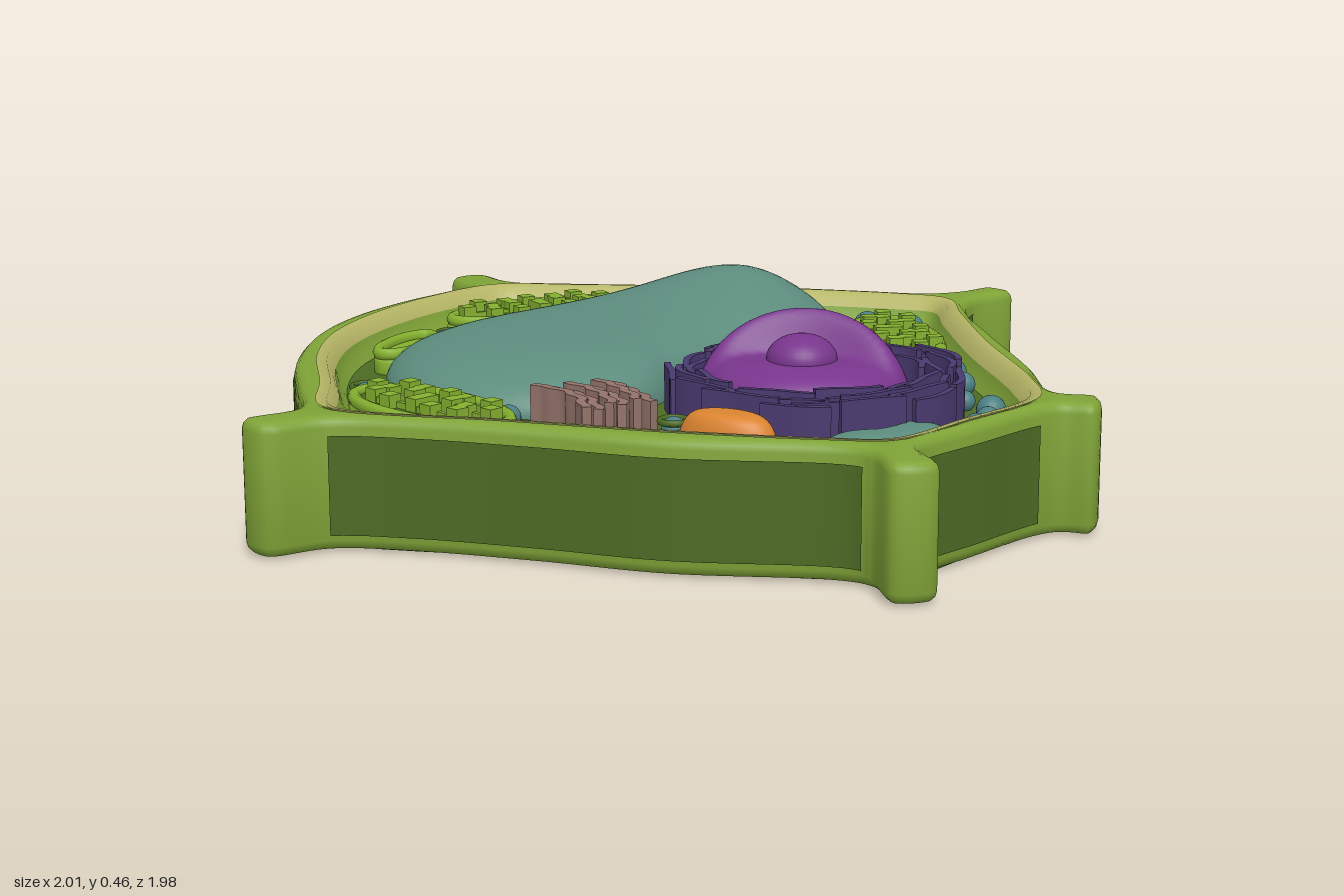
import * as THREE from 'three';
import { toCreasedNormals } from 'three/addons/utils/BufferGeometryUtils.js';

const mat = (name, color, side = THREE.FrontSide) => {
  const m = new THREE.MeshStandardMaterial({ color, side });
  m.name = name;
  return m;
};
const M = {
  wall: mat('wall green', 0x7fa337, THREE.DoubleSide),
  dark: mat('dark green', 0x4c6a24, THREE.DoubleSide),
  cream: mat('membrane cream', 0xb5b566, THREE.DoubleSide),
  teal: mat('vacuole teal', 0x5c8c7d),
  purple: mat('nucleus purple', 0x78358c),
  indigo: mat('reticulum indigo', 0x4a3a70),
  leaf: mat('chloroplast green', 0x84b02f),
  orange: mat('mitochondrion orange', 0xdb8430),
  brown: mat('golgi brown', 0x93736a),
  blue: mat('vesicle blue', 0x4b7f82),
};
const FLOOR = 0.23;

// Smooth closed outline through [x, z] points (running from +x towards +z)
const smooth = (pts, n) => new THREE.CatmullRomCurve3(
  pts.map(([x, z]) => new THREE.Vector3(x, 0, z)), true, 'centripetal')
  .getPoints(n).slice(0, n).map(p => new THREE.Vector2(p.x, p.z));
const ellipse = (a, b, n = 40) => Array.from({ length: n }, (_, i) => {
  const t = i / n * Math.PI * 2;
  return new THREE.Vector2(a * Math.cos(t), b * Math.sin(t));
});

// Upright slab from an outline
function slab(pts, top, bottom, bevel = 0, hole) {
  const shape = new THREE.Shape(pts);
  if (hole) shape.holes.push(new THREE.Path(hole));
  const g = new THREE.ExtrudeGeometry(shape, {
    depth: top - bottom - 2 * bevel, bevelEnabled: bevel > 0, bevelThickness: bevel,
    bevelSize: bevel, bevelOffset: -bevel, bevelSegments: 3 });
  g.rotateX(Math.PI / 2).translate(0, top - bevel, 0);
  return toCreasedNormals(g, 0.7);
}

// Band following an outline, through [inset, y] rows; keep() may leave gaps
function band(pts, rows, keep = () => true) {
  const pos = [], idx = [], n = pts.length;
  for (const [inset, y] of rows) pts.forEach((p, i) => {
    const t = pts[(i + 1) % n].clone().sub(pts[(i + n - 1) % n]).normalize();
    pos.push(p.x - t.y * inset, y, p.y + t.x * inset);
  });
  for (let r = 0; r < rows.length - 1; r++) for (let i = 0; i < n; i++) {
    const j = (i + 1) % n, a = r * n + i, b = r * n + j;
    if (keep(pts[i]) && keep(pts[j])) idx.push(a, a + n, b, b, a + n, b + n);
  }
  return build(pos, idx);
}
function build(pos, idx) {
  const g = new THREE.BufferGeometry();
  g.setAttribute('position', new THREE.Float32BufferAttribute(pos, 3));
  g.setIndex(idx);
  g.computeVertexNormals();
  return g;
}

// Domed surface over an outline; height(x, z, s) with s = 0 centre to 1 edge
function dome(pts, [cx, cz], height, rings = 16) {
  const n = pts.length, pos = [cx, FLOOR + height(cx, cz, 0), cz], idx = [];
  for (let k = 1; k <= rings; k++) {
    const s = Math.sin(k / rings * Math.PI / 2);
    pts.forEach(p => {
      const x = cx + (p.x - cx) * s, z = cz + (p.y - cz) * s;
      pos.push(x, FLOOR + height(x, z, s), z);
    });
  }
  for (let i = 0; i < n; i++) {
    const j = (i + 1) % n;
    idx.push(0, 1 + j, 1 + i);
    for (let k = 0; k < rings - 1; k++) {
      const a = 1 + k * n + i, b = 1 + k * n + j;
      idx.push(a, b, a + n, b, b + n, a + n);
    }
  }
  return build(pos, idx);
}
const round = (s, p = 4) => Math.sqrt(Math.max(0, 1 - s ** p));
const loopTube = (pts, y, r) => new THREE.TubeGeometry(new THREE.CatmullRomCurve3(
  pts.map(p => new THREE.Vector3(p.x, y, p.y)), true), 64, r, 8, true);

// Standing ribbon of given thickness along an open path
function ribbon(path, thick, top) {
  const side = d => path.map((p, i) => {
    const t = path[Math.min(i + 1, path.length - 1)].clone().sub(path[Math.max(i - 1, 0)]).normalize();
    return new THREE.Vector2(p.x - t.y * d, p.y + t.x * d);
  });
  return slab([...side(thick / 2), ...side(-thick / 2).reverse()], top, FLOOR - 0.01);
}

export function createModel() {
  const root = new THREE.Group();
  const add = (name, geo, material, parent = root) => {
    const m = new THREE.Mesh(geo, material);
    m.name = name;
    parent.add(m);
    return m;
  };
  const group = (name, x = 0, z = 0, angle = 0) => {
    const g = new THREE.Group();
    g.name = name;
    g.position.set(x, 0, z);
    g.rotation.y = -angle;
    root.add(g);
    return g;
  };

  // Cell wall with five corner spurs
  const outer = smooth([
    [-0.86, -0.85], [-0.79, -0.91], [-0.69, -0.83], [-0.6, -0.81], [-0.3, -0.85], [0, -0.88], [0.3, -0.875], [0.48, -0.87], [0.56, -0.91],
    [0.64, -0.99], [0.71, -0.94], [0.62, -0.82], [0.61, -0.68], [0.71, -0.35], [0.83, 0], [0.89, 0.23], [0.92, 0.26],
    [1, 0.27], [1, 0.38], [0.93, 0.38], [0.88, 0.42], [0.75, 0.62], [0.65, 0.78], [0.65, 0.84],
    [0.7, 0.95], [0.61, 0.99], [0.55, 0.88], [0.48, 0.85], [0.1, 0.87], [-0.2, 0.83], [-0.5, 0.805], [-0.68, 0.82],
    [-0.8, 0.91], [-0.87, 0.85], [-0.79, 0.75], [-0.79, 0.68], [-0.86, 0.5], [-0.95, 0.25], [-0.995, -0.05], [-0.97, -0.3], [-0.88, -0.55], [-0.78, -0.72]], 260);
  const inner = smooth([
    [-0.7, -0.74], [-0.5, -0.77], [0, -0.82], [0.42, -0.81], [0.53, -0.78], [0.58, -0.6], [0.68, -0.25], [0.82, 0.15], [0.85, 0.33],
    [0.72, 0.56], [0.58, 0.77], [0.45, 0.79], [0.1, 0.79], [-0.3, 0.755], [-0.65, 0.74], [-0.72, 0.7],
    [-0.79, 0.48], [-0.89, 0.2], [-0.93, -0.06], [-0.9, -0.32], [-0.82, -0.55]], 140);
  add('cellWall', slab(outer, 0.315, 0.003, 0.025, inner), M.wall);
  const spurs = [[-0.82, -0.88], [0.67, -0.96], [1, 0.33], [0.65, 0.97], [-0.83, 0.88]].map(p => new THREE.Vector2(...p));
  add('wallPanels', band(outer, [[-0.004, 0.04], [-0.004, 0.272]],
    p => spurs.every(s => s.distanceTo(p) > 0.15)), M.dark);
  add('cellFloor', slab(inner.map(p => p.clone().multiplyScalar(1.03)), FLOOR, 0), M.dark);
  add('membraneLip', band(inner, [[-0.02, 0.316], [0.006, 0.312], [0.025, 0.28]]), M.cream);
  add('membraneSlope', band(inner, [[0.025, 0.28], [0.035, 0.25], [0.06, FLOOR - 0.01]]), M.wall);

  // Large bean-shaped vacuole, highest at the back
  const bean = smooth([
    [0, -0.81], [0.17, -0.76], [0.27, -0.63], [0.29, -0.5], [0.24, -0.35], [0.13, -0.2], [0.04, -0.05], [-0.02, 0.1], [-0.06, 0.25],
    [-0.14, 0.36], [-0.28, 0.42], [-0.45, 0.42], [-0.6, 0.36], [-0.72, 0.22], [-0.78, 0.02], [-0.74, -0.15],
    [-0.66, -0.3], [-0.55, -0.45], [-0.42, -0.6], [-0.25, -0.74], [-0.12, -0.8]], 90);
  add('vacuole', dome(bean, [-0.27, -0.15], (x, z, s) => round(s)
    * (0.125 + 0.1 * Math.exp(-((x - 0.03) ** 2 + (z + 0.57) ** 2) / 0.07)), 28), M.teal);
  const blob = smooth([[0.62, 0.42], [0.7, 0.48], [0.68, 0.56], [0.6, 0.66], [0.5, 0.71], [0.42, 0.7], [0.4, 0.63], [0.5, 0.58], [0.57, 0.5]], 40);
  add('smoothReticulum', dome(blob, [0.56, 0.6], (x, z, s) => 0.06 * round(s)), M.teal);

  // Nucleus dome, cut open towards the front around the nucleolus
  const disc = ellipse(0.26, 0.24, 80).map(p => p.add(new THREE.Vector2(0.3, 0.2)));
  add('nucleus', dome(disc, [0.3, 0.2], (x, z, s) => {
    const cut = THREE.MathUtils.smoothstep(z - 0.12 - 1.5 * (x - 0.3) ** 2, 0, 0.07);
    return THREE.MathUtils.lerp(0.245 * round(s, 2), 0.13 * round(s, 5), cut);
  }, 44), M.purple);
  const core = add('nucleolus', new THREE.SphereGeometry(0.085, 32, 20), M.purple);
  core.position.set(0.3, 0.36, 0.225);
  core.scale.y = 0.7;

  // Folded reticulum walls around the nucleus, as broken rings
  const er = group('roughReticulum', 0.32, 0.24);
  const rings = [[0.275, 0.1, 6.1], [0.305, 2.3, 8.3], [0.335, -2.6, 3.2], [0.362, -0.9, 2.2], [0.39, 0.35, 1.75]];
  rings.forEach(([r, from, to], k) => {
    const parts = Math.max(3, Math.round((to - from) * 1.5));
    for (let i = 0; i < parts; i++) {
      const a0 = from + (to - from) * (i + 0.05) / parts, a1 = from + (to - from) * (i + 0.93) / parts;
      const path = Array.from({ length: 13 }, (_, j) => {
        const a = a0 + (a1 - a0) * j / 12, q = r + 0.009 * Math.sin(a * 9 + k * 2);
        return new THREE.Vector2(q * Math.cos(a), q * Math.sin(a) * 0.97);
      });
      add('reticulumFold', ribbon(path, 0.016, 0.34 + 0.012 * ((i + k) % 2)), M.indigo, er);
    }
  });

  // Chloroplasts: rimmed dishes with stacked grana
  for (const [x, z, len, wid, angle] of [
    [-0.55, -0.58, 0.52, 0.23, -0.7], [0.455, -0.42, 0.5, 0.22, 1.2],
    [-0.52, 0.55, 0.52, 0.25, 0.58], [-0.77, -0.1, 0.28, 0.13, 1.75]]) {
    const g = group('chloroplast', x, z, angle), a = len / 2, b = wid / 2;
    add('chloroplastBody', slab(ellipse(a, b), 0.275, FLOOR - 0.01, 0.015), M.leaf, g);
    add('chloroplastRim', loopTube(ellipse(a - 0.015, b - 0.015), 0.28, 0.016), M.leaf, g);
    if (len < 0.4) continue;
    add('stroma', slab(ellipse(a - 0.025, b - 0.025), 0.28, 0.272), M.dark, g);
    for (let row = -1; row <= 1; row++) {
      const reach = (a - 0.06) * (row ? 0.72 : 1), n = row ? 5 : 7;
      add('lamella', new THREE.BoxGeometry(reach * 2, 0.015, 0.012), M.leaf, g).position.set(0, 0.288, row * 0.052);
      for (let i = 0; i < n; i++) {
        const stack = add('granum', new THREE.BoxGeometry(0.036, 0.035, 0.036), M.leaf, g);
        stack.position.set(-reach + 2 * reach * i / (n - 1), 0.295, row * 0.052 + (i % 2 ? 0.009 : -0.009));
      }
    }
  }

  // Mitochondria
  for (const [x, z, len, wid, angle] of [[0.26, -0.215, 0.22, 0.15, -1.2], [0.2, 0.66, 0.25, 0.13, 0.33]]) {
    const g = group('mitochondrion', x, z, angle), e = ellipse(len / 2, wid / 2);
    add('mitochondrionBody', dome(e, [0, 0], (px, pz, s) => 0.1 * round(s, 5)), M.orange, g);
    add('mitochondrionRim', loopTube(e, 0.265, 0.008), M.brown, g);
  }

  // Golgi stack of curved ribbons
  const golgi = group('golgiBody');
  for (let i = 0; i < 6; i++) {
    const u = i / 5, path = new THREE.QuadraticBezierCurve(
      new THREE.Vector2(-0.3 + 0.17 * u, 0.46 - 0.1 * u), new THREE.Vector2(-0.16 + 0.1 * u, 0.5 - 0.07 * u),
      new THREE.Vector2(-0.13 + 0.13 * u, 0.66 - 0.13 * u)).getPoints(16);
    path.forEach((p, j) => { p.x += 0.007 * Math.sin(j * 1.3 + i); });
    add('golgiFold', ribbon(path, 0.022, 0.325 - 0.01 * (i % 2)), M.brown, golgi);
  }

  // Vesicles, and ringed vesicles
  for (const [x, z, r] of [[0.34, -0.71, 0.037], [0.46, -0.7, 0.034], [0.62, -0.17, 0.038], [0.66, -0.05, 0.03],
    [0.37, -0.18, 0.028], [0.1, -0.16, 0.03], [0.75, 0.21, 0.036], [0.75, 0.3, 0.03], [0.73, 0.37, 0.03], [0.68, 0.13, 0.026],
    [0.64, 0.54, 0.03], [-0.23, 0.7, 0.033], [-0.13, 0.71, 0.033], [-0.04, 0.73, 0.033], [-0.35, 0.49, 0.03], [0.08, -0.08, 0.025]])
    add('vesicle', new THREE.SphereGeometry(r, 20, 14), M.blue).position.set(x, 0.25, z);
  for (const [x, z] of [[-0.25, -0.76], [-0.71, -0.29], [-0.74, 0.35], [0.055, 0.55], [0.05, 0.7]]) {
    const g = group('ringedVesicle', x, z);
    add('vesicleBody', new THREE.SphereGeometry(0.03, 20, 14), M.blue, g).position.y = 0.255;
    add('vesicleRing', loopTube(ellipse(0.032, 0.032, 20), 0.275, 0.008), M.dark, g);
  }
  return root;
}
